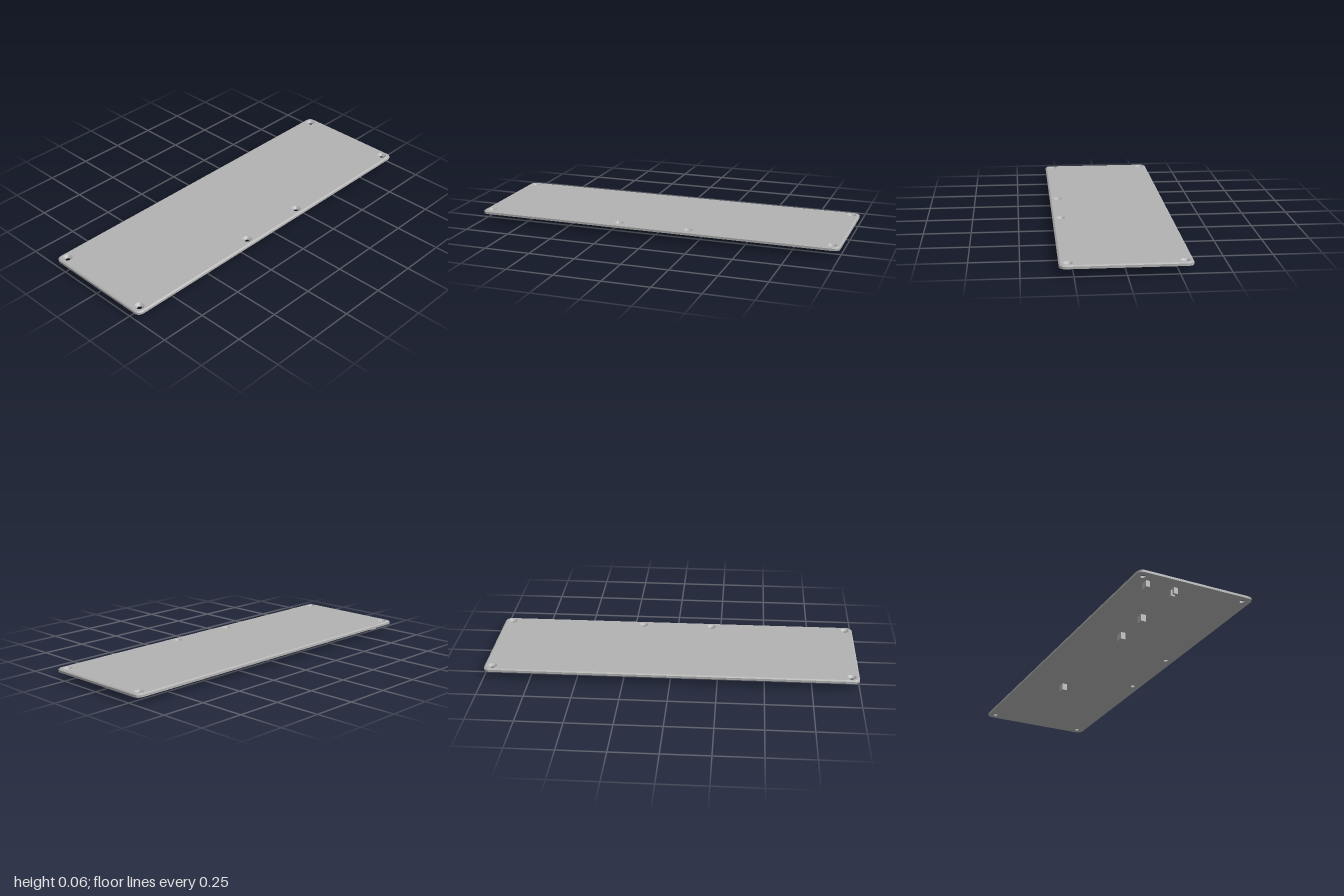
import * as THREE from 'three';
import { toCreasedNormals } from 'three/addons/utils/BufferGeometryUtils.js';

const HALF_X = 1, HALF_Z = 0.319, CORNER = 0.032;
const BOTTOM = 0.038, EDGE = 0.05, TOP = 0.0555, CHAMFER = 0.008;
const SINK_R = 0.025, HOLE_R = 0.013, SINK_Y = 0.044;

// screw positions as [x, z]
const SCREWS = [
  [-0.957, -0.277], [0.957, -0.277], [-0.957, 0.277], [0.957, 0.277],
  [-0.197, 0.277], [0.193, 0.277],
];

// rounded rectangle outline, counter-clockwise, shrunk by an inset
function outline(inset) {
  const pts = [], r = CORNER - inset, n = 8;
  const cx = HALF_X - CORNER, cz = HALF_Z - CORNER;
  [[1, 1], [-1, 1], [-1, -1], [1, -1]].forEach(([sx, sz], q) => {
    for (let i = 0; i <= n; i++) {
      const a = (q + i / n) * Math.PI / 2;
      pts.push(new THREE.Vector2(sx * cx + r * Math.cos(a), sz * cz + r * Math.sin(a)));
    }
  });
  return pts;
}

// flat plate face with screw holes; side is 1 for up, -1 for down
function face(inset, holeR, y, side) {
  const shape = new THREE.Shape(outline(inset));
  for (const [x, z] of SCREWS) {
    shape.holes.push(new THREE.Path().absarc(x, -side * z, holeR, 0, Math.PI * 2, true));
  }
  return new THREE.ShapeGeometry(shape, 16).rotateX(-side * Math.PI / 2).translate(0, y, 0);
}

// rim wall joining outlines given as [inset, y], from bottom to top
function rim(levels) {
  const pos = [], idx = [];
  const rings = levels.map(([inset]) => outline(inset));
  const n = rings[0].length;
  rings.forEach((ring, k) => ring.forEach(p => pos.push(p.x, levels[k][1], -p.y)));
  for (let k = 0; k < levels.length - 1; k++) {
    for (let i = 0; i < n; i++) {
      const a = k * n + i, b = k * n + (i + 1) % n;
      idx.push(a, b, b + n, a, b + n, a + n);
    }
  }
  const geo = new THREE.BufferGeometry();
  geo.setAttribute('position', new THREE.Float32BufferAttribute(pos, 3));
  geo.setIndex(idx);
  return toCreasedNormals(geo, 0.5);
}

export function createModel() {
  const model = new THREE.Group();
  model.name = 'coverPlate';
  const grey = new THREE.MeshStandardMaterial({ color: 0xb2b2b2, side: THREE.DoubleSide });
  grey.name = 'plainGrey';

  const add = (name, geo, x = 0, y = 0, z = 0) => {
    const mesh = new THREE.Mesh(geo, grey);
    mesh.name = name;
    mesh.position.set(x, y, z);
    model.add(mesh);
  };

  // plate with chamfered top edge
  add('plateTop', face(CHAMFER, SINK_R, TOP, 1));
  add('plateBottom', face(0, HOLE_R, BOTTOM, -1));
  add('plateRim', rim([[0, BOTTOM], [0, EDGE], [CHAMFER, TOP]]));

  // countersunk screw holes
  const profile = [[SINK_R, TOP], [HOLE_R, SINK_Y], [HOLE_R, BOTTOM]]
    .map(([r, y]) => new THREE.Vector2(r, y));
  const sink = toCreasedNormals(new THREE.LatheGeometry(profile, 32), 0.5);
  SCREWS.forEach(([x, z], i) => add('screwHole' + (i + 1), sink, x, 0, z));

  // support posts under the plate: x, z, width, depth, foot height
  const post = (name, x, z, w, d, foot) =>
    add(name, new THREE.BoxGeometry(w, BOTTOM - foot, d), x, (BOTTOM + foot) / 2, z);
  post('leftPost', 0.357, -0.094, 0.042, 0.028, 0);
  post('middlePost', -0.376, -0.094, 0.044, 0.028, 0);
  post('innerPost', -0.602, -0.094, 0.04, 0.028, 0);
  post('rearPost', -0.915, -0.24, 0.043, 0.02, 0.004);

  // split post made of two prongs
  for (const s of [-1, 1]) post('prong', -0.915 + s * 0.014, -0.088, 0.015, 0.022, 0.004);

  return model;
}
